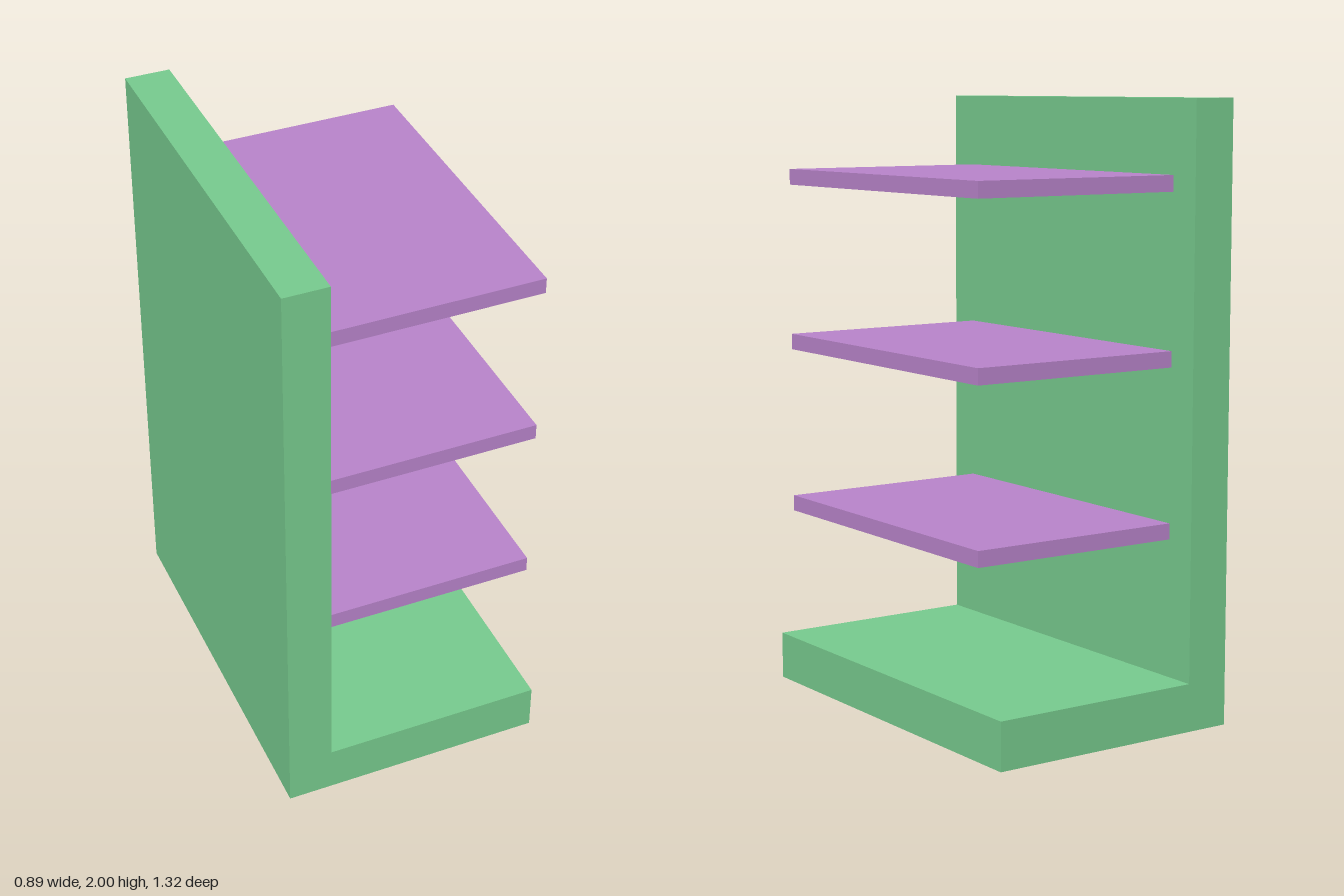
import * as THREE from 'three';

export function createModel() {
  const model = new THREE.Group();
  model.name = 'shelfUnit';
  const green = new THREE.MeshStandardMaterial({ color: 0x78cc8f });
  const purple = new THREE.MeshStandardMaterial({ color: 0xba85cc });

  const left = -0.443, wallFace = -0.295, baseTop = 0.157, depth = 1.32;

  // L-shaped frame: upright wall and base in one profile
  const profile = new THREE.Shape([
    [left, 0], [0.435, 0], [0.435, baseTop], [wallFace, baseTop], [wallFace, 2], [left, 2],
  ].map(([x, y]) => new THREE.Vector2(x, y)));
  const frameGeometry = new THREE.ExtrudeGeometry(profile, { depth, bevelEnabled: false });
  frameGeometry.translate(0, 0, -depth / 2);
  const frame = new THREE.Mesh(frameGeometry, green);
  frame.name = 'frame';
  model.add(frame);

  // Three evenly spaced shelves standing out from the wall
  const shelfWidth = 0.443 - wallFace;
  const shelfGeometry = new THREE.BoxGeometry(shelfWidth, 0.052, 1.106);
  for (let i = 0; i < 3; i++) {
    const shelf = new THREE.Mesh(shelfGeometry, purple);
    shelf.name = `shelf${i + 1}`;
    shelf.position.set(wallFace + shelfWidth / 2, 0.633 + i * 0.5515, 0);
    model.add(shelf);
  }
  return model;
}
